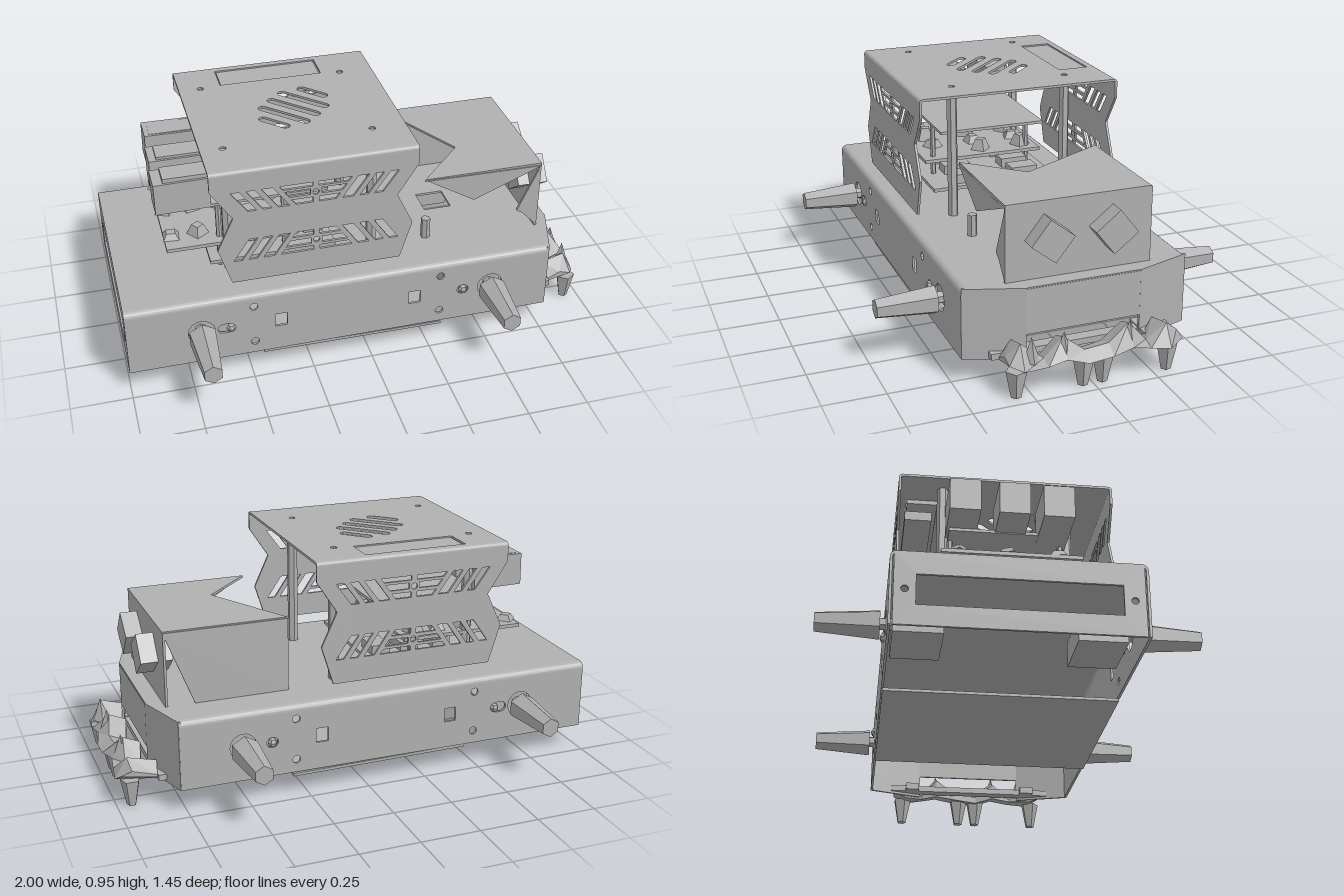
import * as THREE from 'three';

const metal = new THREE.MeshStandardMaterial({ color: 0xb0b0b0, flatShading: true, side: THREE.DoubleSide });
metal.name = 'grey metal';
const T = 0.01; // sheet thickness

const poly = pts => pts.map(p => new THREE.Vector2(p[0], p[1]));
const rect = (x0, y0, x1, y1) => [[x0, y0], [x1, y0], [x1, y1], [x0, y1]];
const circle = (x, y, r, n = 10) => Array.from({ length: n }, (_, i) =>
  [x + r * Math.cos(i * 2 * Math.PI / n), y + r * Math.sin(i * 2 * Math.PI / n)]);

// rounded slot centred at x, y with a total length, radius and direction
function slot(x, y, len, r, angle) {
  const pts = [], h = len / 2 - r;
  for (let i = 0; i < 12; i++) {
    const k = i < 6 ? 0 : 1;
    const a = -Math.PI / 2 + (i - k) * Math.PI / 5;
    const u = r * Math.cos(a) + (k ? -h : h), v = r * Math.sin(a);
    pts.push([x + u * Math.cos(angle) - v * Math.sin(angle), y + u * Math.sin(angle) + v * Math.cos(angle)]);
  }
  return pts;
}

function sheet(outline, holes = [], depth = T) {
  const s = new THREE.Shape(poly(outline));
  holes.forEach(h => s.holes.push(new THREE.Path(poly(h))));
  return new THREE.ExtrudeGeometry(s, { depth, bevelEnabled: false });
}

export function createModel() {
  const model = new THREE.Group();
  model.name = 'roverRobot';
  const add = (name, geo, parent = model) => {
    const m = new THREE.Mesh(geo, metal);
    m.name = name;
    parent.add(m);
    return m;
  };
  const group = name => {
    const g = new THREE.Group();
    g.name = name;
    model.add(g);
    return g;
  };
  // box given by its limits
  const box = (name, x0, x1, y0, y1, z0, z1, parent) =>
    add(name, new THREE.BoxGeometry(x1 - x0, y1 - y0, z1 - z0)
      .translate((x0 + x1) / 2, (y0 + y1) / 2, (z0 + z1) / 2), parent);
  const post = (name, x, z, y0, y1, r, parent, n = 6) =>
    add(name, new THREE.CylinderGeometry(r, r, y1 - y0, n).translate(x, (y0 + y1) / 2, z), parent);
  // horizontal sheet drawn in x, z with its top at y
  const flat = (name, y, outline, holes, parent) => {
    const f = a => a.map(p => [p[0], -p[1]]);
    return add(name, sheet(f(outline), (holes || []).map(f)).rotateX(-Math.PI / 2).translate(0, y - T, 0), parent);
  };
  // sheet in x, y starting at z
  const upright = (name, z, outline, holes, parent) =>
    add(name, sheet(outline, holes).translate(0, 0, z), parent);
  // sheet across the model, drawn in z, y, starting at x
  const cross = (name, x, outline, holes, parent) => {
    const f = a => a.map(p => [-p[0], p[1]]);
    return add(name, sheet(f(outline), (holes || []).map(f)).rotateY(Math.PI / 2).translate(x, 0, 0), parent);
  };
  // folded edge along x, with outer faces at height y and at |z|
  const fold = (name, x0, x1, y, z, r, side, parent) => {
    const pts = [];
    for (let i = 0; i <= 5; i++) pts.push([r * Math.cos(i * Math.PI / 10), r * Math.sin(i * Math.PI / 10)]);
    for (let i = 5; i >= 0; i--) pts.push([(r - T) * Math.cos(i * Math.PI / 10), (r - T) * Math.sin(i * Math.PI / 10)]);
    const outline = pts.map(p => [-side * (z - r + p[0]), y - r + p[1]]);
    return add(name, sheet(outline, [], x1 - x0).rotateY(Math.PI / 2).translate(x0, 0, 0), parent);
  };

  // Chassis: folded shell, open underneath
  const chassis = group('chassis');
  flat('deck', 0.39, [[-1, -0.44], [0.775, -0.44], [0.782, -0.44], [0.85, -0.235], [0.85, 0.235], [0.782, 0.44], [-1, 0.44]],
    [rect(0.36, -0.065, 0.48, 0.06)], chassis);
  const sideHoles = [
    circle(-0.7, 0.245, 0.055, 14), circle(0.52, 0.245, 0.055, 14),
    slot(-0.6, 0.245, 0.07, 0.022, 0), slot(0.4, 0.245, 0.05, 0.022, 0),
    rect(-0.4, 0.215, -0.35, 0.275), rect(0.165, 0.215, 0.215, 0.275),
  ];
  for (const x of [-0.485, 0.3]) for (const y of [0.155, 0.33]) sideHoles.push(circle(x, y, 0.017));
  for (const s of [1, -1]) {
    upright('sidePanel', s > 0 ? 0.455 : -0.465, rect(-1, 0.1, 0.775, 0.365), sideHoles, chassis);
    fold('deckFold', -1, 0.775, 0.39, 0.465, 0.025, s, chassis);
    const cheek = add('nosePanel', new THREE.BoxGeometry(0.242, 0.29, T), chassis);
    cheek.position.set(0.81, 0.245, s * 0.348);
    cheek.rotation.y = s * Math.atan2(0.23, 0.075);
  }
  cross('rearPanel', -1, rect(-0.45, 0.1, 0.45, 0.385),
    [rect(-0.37, 0.18, 0.37, 0.3), circle(-0.41, 0.24, 0.014), circle(0.41, 0.24, 0.014)], chassis);
  cross('noseCentre', 0.842, rect(-0.235, 0.2, 0.235, 0.385), [], chassis);
  box('noseCrossbar', 0.79, 0.84, 0.11, 0.135, -0.37, 0.37, chassis);
  const belly = box('bellyPlate', -0.45, 0.31, 0.082, 0.094, -0.46, 0.46, chassis);
  belly.rotation.z = -0.01;

  // Drive units: motor, shaft and tapered wheel hub
  const drive = group('driveUnits');
  for (const x of [-0.7, 0.52]) for (const s of [1, -1]) {
    const end = x < 0 ? 1 : -1;
    const a = x - 0.05, b = x + 0.05;
    box('motor', end > 0 ? a : a - 0.14, end > 0 ? b + 0.14 : b, 0.195, 0.295, Math.min(s * 0.25, s * 0.44), Math.max(s * 0.25, s * 0.44), drive);
    add('motorShaft', new THREE.CylinderGeometry(0.025, 0.025, 0.12, 6).rotateX(Math.PI / 2).translate(x, 0.245, s * 0.46), drive);
    add('wheelHub', new THREE.CylinderGeometry(0.04, 0.06, 0.24, 6).rotateX(s * Math.PI / 2).translate(x, 0.24, s * 0.605), drive);
    add('motorBoss', new THREE.SphereGeometry(0.02, 6, 4).translate(x + end * 0.12, 0.245, s * 0.463), drive);
  }

  // Head: notched roof, flared side, one open side and two sensor eyes
  const head = group('head');
  flat('headRoof', 0.7, [[0.275, -0.3], [0.785, -0.3], [0.785, 0.295], [0.275, 0.295], [0.48, 0.08]], [], head);
  upright('headSide', -0.305, [[0.275, 0.39], [0.665, 0.39], [0.785, 0.695], [0.275, 0.695]], [], head);
  upright('headFlap', 0.29, [[0.285, 0.695], [0.49, 0.57], [0.785, 0.69]], [], head);
  cross('headFront', 0.775, [[-0.305, 0.39], [0.295, 0.39], [0.295, 0.69], [-0.305, 0.69]], [], head);
  upright('headCorner', 0.285, [[0.785, 0.39], [0.785, 0.69], [0.69, 0.48], [0.72, 0.46]], [], head);
  box('headFlange', 0.275, 0.31, 0.39, 0.69, -0.3, -0.285, head);
  post('headPost', 0.3, 0.25, 0.39, 0.48, 0.02, head);
  for (const s of [1, -1]) {
    const eye = add('sensorEye', new THREE.CylinderGeometry(0.088, 0.088, 0.13, 4), head);
    eye.rotation.set(s * 0.12, 0, -Math.PI / 2);
    eye.position.set(0.79, 0.56, s * 0.13);
  }

  // Canopy: vented cover on four posts
  const canopy = group('canopy');
  const vents = [-2, -1, 0, 1, 2].map(i => slot(-0.2 + i * 0.052, -i * 0.052, [0.25, 0.27, 0.16][Math.abs(i)] * (i ? 0.9 : 1), 0.018, Math.PI / 4));
  const bolts = [];
  for (const x of [-0.54, 0.06]) for (const z of [-0.25, 0.25]) bolts.push(circle(x, z, 0.014));
  flat('canopyRoof', 0.95, rect(-0.63, -0.415, 0.2, 0.415),
    [...vents, ...bolts, rect(-0.455, -0.39, -0.02, -0.262)], canopy);
  const half = [[0.415, 0.935], [0.415, 0.87], [0.33, 0.74], [0.395, 0.6], [0.345, 0.44]];
  const cx = -0.215;
  const outline = [...half.map(p => [cx + p[0], p[1]]), ...half.slice().reverse().map(p => [cx - p[0], p[1]])];
  // slanted and horizontal louvres, mirrored about the panel centre
  const louvres = [circle(cx, 0.81, 0.013), circle(cx, 0.587, 0.013)];
  for (const m of [1, -1]) for (const [y0, y1] of [[0.765, 0.855], [0.635, 0.54]]) {
    const yAt = t => y0 + (y1 - y0) * t;
    for (const [x, w] of [[0.235, 0.035], [0.175, 0.035], [0.105, 0.045]])
      louvres.push([[x, 0], [x + w, 0], [x + w + 0.065, 1], [x + 0.065, 1]].map(p => [cx + m * p[0], yAt(p[1])]));
    louvres.push([[0.022, 0.4], [0.105, 0.4], [0.125, 0.68], [0.022, 0.68]].map(p => [cx + m * p[0], yAt(p[1])]));
    louvres.push([[0.012, 0], [0.08, 0], [0.098, 0.25], [0.012, 0.25]].map(p => [cx + m * p[0], yAt(p[1])]));
    louvres.push([[0.012, 0.8], [0.13, 0.8], [0.145, 1], [0.012, 1]].map(p => [cx + m * p[0], yAt(p[1])]));
  }
  for (const s of [1, -1]) {
    upright('canopySide', s > 0 ? 0.42 : -0.43, outline, louvres, canopy);
    fold('canopyFold', -0.63, 0.2, 0.95, 0.43, 0.015, s, canopy);
    for (const x of [-0.54, 0.06]) post('canopyPost', x, s * 0.25, 0.39, 0.942, 0.022, canopy);
    post('roofStud', -0.4, s * 0.165, 0.905, 0.942, 0.02, canopy);
  }
  box('displayScreen', -0.45, -0.025, 0.925, 0.945, -0.388, -0.264, canopy);
  box('displayBoard', -0.43, -0.04, 0.86, 0.9, -0.395, -0.285, canopy);
  box('displayCore', -0.38, -0.08, 0.9, 0.925, -0.37, -0.3, canopy);

  // Electronics: two stacked boards with ports and chips
  const electronics = group('electronics');
  box('lowerBoard', -0.62, -0.1, 0.435, 0.45, -0.28, 0.28, electronics);
  box('portBoard', -0.79, -0.25, 0.515, 0.53, -0.27, 0.27, electronics);
  box('upperBoard', -0.66, -0.12, 0.685, 0.697, -0.23, 0.24, electronics);
  for (const z of [-0.18, 0.01, 0.18]) {
    const port = box('portBlock', -0.81, -0.59, 0.69, 0.825, z - 0.06, z + 0.06, electronics);
    port.rotation.z = z * 0.06;
    box('portShell', -0.78, -0.57, 0.81, 0.835, z - 0.045, z + 0.05, electronics);
  }
  for (let i = 0; i < 14; i++) {
    const x = -0.76 + (i % 5) * 0.11, z = -0.2 + Math.floor(i / 5) * 0.19, h = 0.025 + ((i * 7) % 5) * 0.008;
    const chip = add('chip', new THREE.CylinderGeometry(0.025, 0.045, h, 4), electronics);
    chip.rotation.y = i * 0.7;
    chip.position.set(x, 0.53 + h / 2, z);
  }
  for (const x of [-0.45, -0.3, -0.17]) for (const z of [-0.15, 0.12])
    box('component', x - 0.04, x + 0.04, 0.45, 0.49, z - 0.06, z + 0.06, electronics);
  for (const x of [-0.57, -0.3]) for (const z of [-0.22, 0.22]) post('boardSpacer', x, z, 0.39, 0.685, 0.012, electronics);

  // Bumper: jagged bar lofted from sections [z, back x, front x, bottom y, top y]
  const bumper = group('bumper');
  const sections = [
    [0.34, 0.84, 0.95, 0.11, 0.15], [0.29, 0.83, 0.98, 0.09, 0.21], [0.2, 0.87, 0.99, 0.1, 0.14],
    [0.12, 0.86, 0.98, 0.11, 0.21], [0.04, 0.88, 1.0, 0.09, 0.15], [-0.06, 0.87, 1.0, 0.1, 0.16],
    [-0.15, 0.86, 0.98, 0.11, 0.22], [-0.22, 0.88, 0.99, 0.1, 0.14], [-0.3, 0.83, 1.0, 0.09, 0.2], [-0.35, 0.84, 0.99, 0.12, 0.16],
  ];
  const ring = ([z, b, f, y0, y1]) => [[b, y0, z], [f, y0 + 0.025, z], [f - 0.05, y1, z], [b, y1 - 0.03, z]];
  const verts = [];
  const quad = (a, b, c, d) => verts.push(...a, ...b, ...c, ...a, ...c, ...d);
  for (let i = 0; i + 1 < sections.length; i++) {
    const p = ring(sections[i]), q = ring(sections[i + 1]);
    for (let j = 0; j < 4; j++) quad(p[j], q[j], q[(j + 1) % 4], p[(j + 1) % 4]);
  }
  quad(...ring(sections[0]));
  quad(...ring(sections[sections.length - 1]).reverse());
  const bar = new THREE.BufferGeometry();
  bar.setAttribute('position', new THREE.Float32BufferAttribute(verts, 3));
  bar.computeVertexNormals();
  add('bumperBar', bar, bumper);
  for (const z of [0.31, 0.04, -0.04, -0.31])
    add('bumperFoot', new THREE.CylinderGeometry(0.042, 0.02, 0.11, 5).translate(0.94, 0.055, z), bumper);
  for (const z of [0.25, 0.12, -0.15])
    add('bumperSpike', new THREE.ConeGeometry(0.035, 0.1, 4).translate(0.94, 0.185, z), bumper);
  for (const s of [1, -1]) box('bumperBracket', 0.76, 0.9, 0.11, 0.14, s * 0.27 - 0.03, s * 0.27 + 0.03, bumper);
  return model;
}
